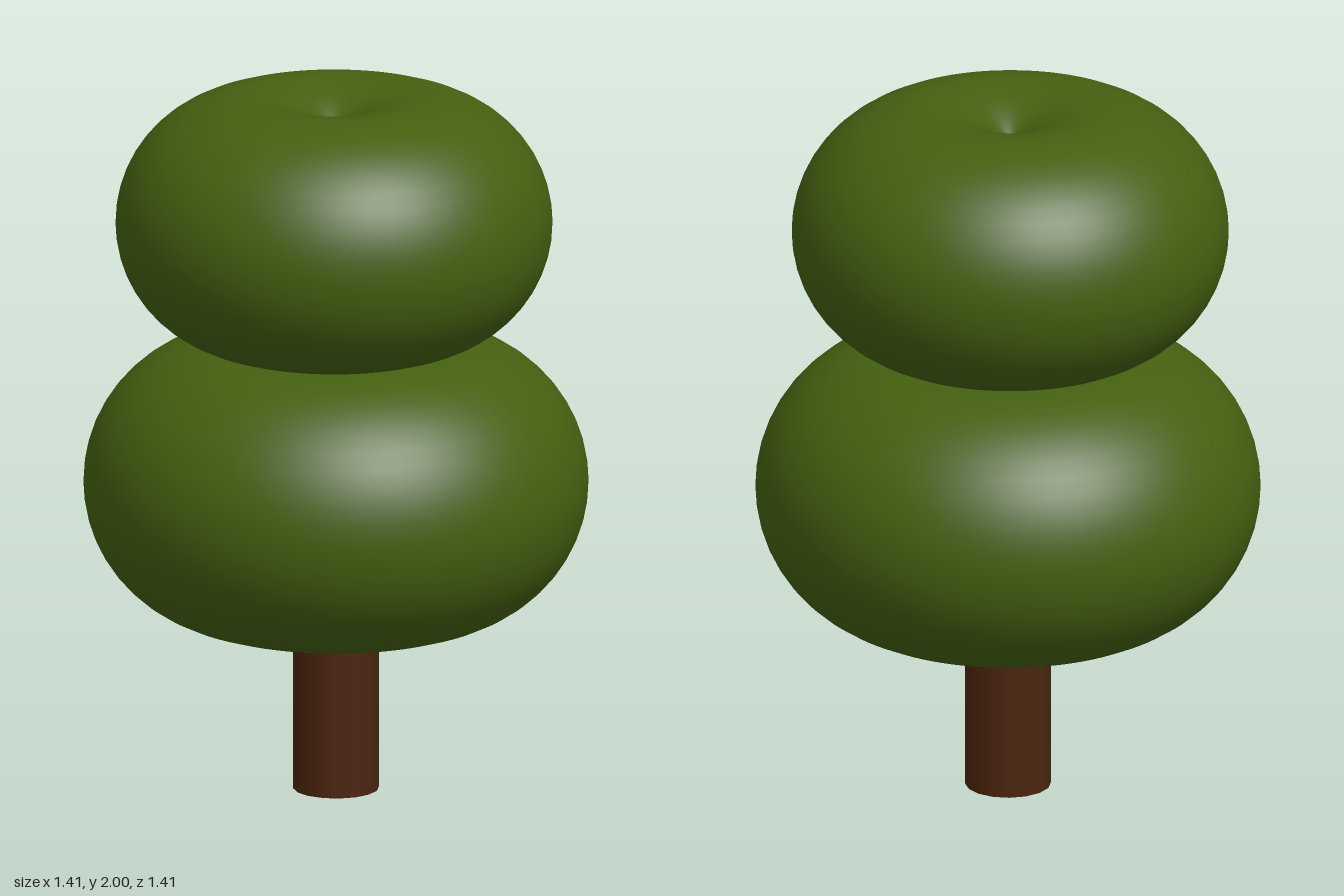
import * as THREE from 'three';

const leaf = new THREE.MeshStandardMaterial({ color: 0x446010 });
const bark = new THREE.MeshStandardMaterial({ color: 0x4a240e });

// A plump ring of foliage lying flat, its hole closed to a dimple
function foliage(name, ringRadius, tubeRadius, y, z) {
  const geometry = new THREE.TorusGeometry(ringRadius, tubeRadius, 48, 96);
  geometry.rotateX(-Math.PI / 2);
  const mesh = new THREE.Mesh(geometry, leaf);
  mesh.name = name;
  mesh.position.set(0, y, z);
  return mesh;
}

export function createModel() {
  const tree = new THREE.Group();
  tree.name = 'tree';

  // Trunk runs up through both tiers and just shows in the top dimple
  const height = 1.92;
  const trunk = new THREE.Mesh(new THREE.CylinderGeometry(0.12, 0.12, height, 16), bark);
  trunk.name = 'trunk';
  trunk.position.y = height / 2;

  tree.add(
    trunk,
    foliage('lowerFoliage', 0.3, 0.405, 0.888, 0),
    foliage('upperFoliage', 0.25, 0.36, 1.64, 0.018)
  );
  return tree;
}
